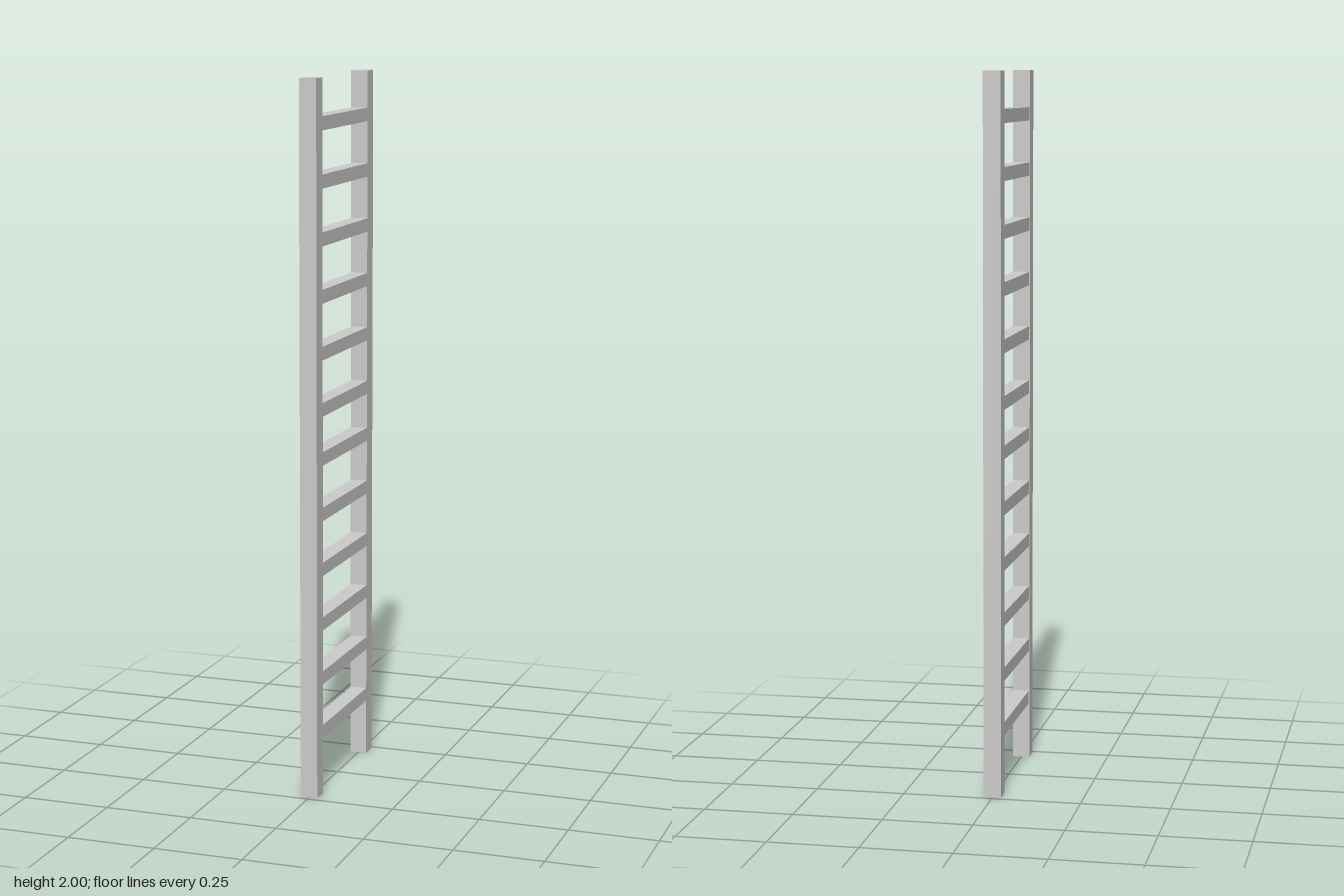
import * as THREE from 'three';

const RAIL = 0.049;        // square rail section
const RAIL_Z = 0.2125;     // rail centre offset
const STEP = 0.156;        // rung spacing within a section
const SECTIONS = [0.181, 1.098]; // height of the lowest rung in each section

export function createModel() {
  const ladder = new THREE.Group();
  ladder.name = 'ladder';
  const material = new THREE.MeshStandardMaterial({ color: 0xcccccc, flatShading: true });

  const addBox = (name, w, h, d, x, y, z) => {
    const mesh = new THREE.Mesh(new THREE.BoxGeometry(w, h, d), material);
    mesh.name = name;
    mesh.position.set(x, y, z);
    ladder.add(mesh);
  };

  // Two full-height side rails
  addBox('frontRail', RAIL, 2, RAIL, 0, 1, RAIL_Z);
  addBox('backRail', RAIL, 2, RAIL, 0, 1, -RAIL_Z);

  // Flat rungs, two sections of six
  const span = 2 * RAIL_Z - RAIL;
  SECTIONS.forEach((base, s) => {
    for (let i = 0; i < 6; i++) {
      addBox(`rung${s * 6 + i + 1}`, 0.047, 0.038, span, 0.001, base + i * STEP, 0);
    }
  });

  return ladder;
}
